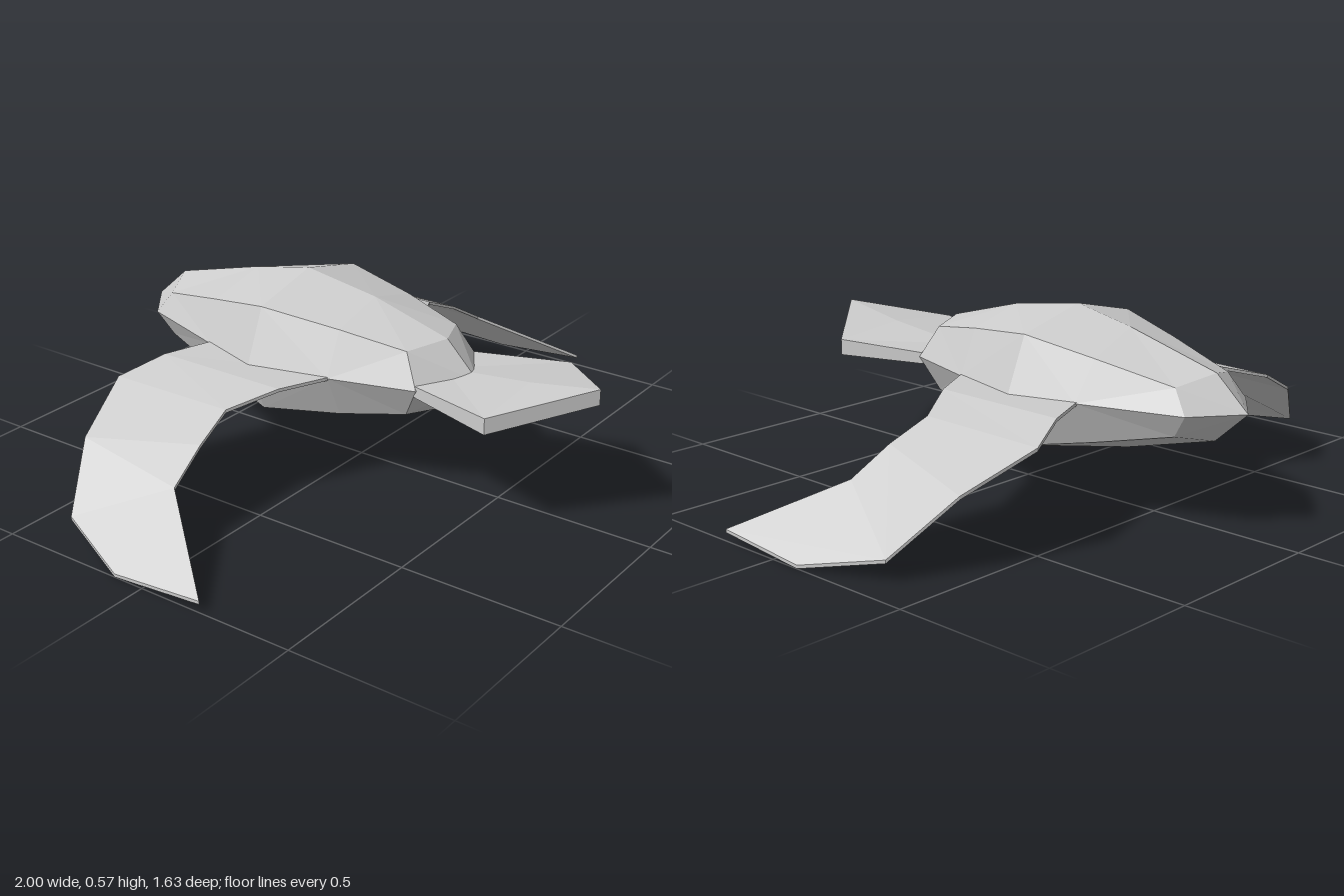
import * as THREE from 'three';

const material = new THREE.MeshStandardMaterial({ color: 0xcccccc, flatShading: true });
const MID_Y = 0.355;

// Skins a row of equal-length point rings (counter-clockwise about the sweep) and closes both ends.
function loft(name, rings) {
  const pos = [];
  const tri = (a, b, c) => {
    const n = b.clone().sub(a).cross(c.clone().sub(a));
    if (n.length() > 1e-7) for (const p of [a, b, c]) pos.push(p.x, p.y, p.z);
  };
  const R = rings.map(r => r.map(p => new THREE.Vector3(...p)));
  const n = R[0].length;
  for (let i = 0; i < R.length - 1; i++) {
    for (let j = 0; j < n; j++) {
      const k = (j + 1) % n;
      const a = R[i][j], b = R[i][k], c = R[i + 1][k], d = R[i + 1][j];
      // alternate the diagonals for a faceted fan pattern
      if ((i + j) % 2 === 0) { tri(a, b, c); tri(a, c, d); }
      else { tri(a, b, d); tri(b, c, d); }
    }
  }
  const last = R[R.length - 1];
  for (let j = 1; j < n - 1; j++) {
    tri(R[0][0], R[0][j + 1], R[0][j]);
    tri(last[0], last[j], last[j + 1]);
  }
  const geo = new THREE.BufferGeometry();
  geo.setAttribute('position', new THREE.Float32BufferAttribute(pos, 3));
  geo.computeVertexNormals();
  const mesh = new THREE.Mesh(geo, material);
  mesh.name = name;
  return mesh;
}

// Eight-sided body tapering to a point at each end
function makeBody() {
  // z, half width, half height, diagonal z, diagonal x, diagonal y
  const stations = [
    [-0.82, 0, 0, -0.82, 0, 0],
    [-0.71, 0.14, 0.098, -0.66, 0.12, 0.07],
    [-0.4, 0.24, 0.18, -0.42, 0.18, 0.122],
    [-0.2, 0.3, 0.22, -0.2, 0.23, 0.165],
    [0.05, 0.24, 0.182, 0.05, 0.18, 0.135],
    [0.31, 0.163, 0.11, 0.255, 0.13, 0.1],
    [0.42, 0, 0, 0.42, 0, 0],
  ];
  return loft('body', stations.map(([z, w, h, dz, dx, dy]) => [
    [w, 0, z], [dx, dy, dz], [0, h, z], [-dx, dy, dz],
    [-w, 0, z], [-dx, -dy, dz], [0, -h, z], [dx, -dy, dz],
  ].map(([x, y, zz]) => [x, MID_Y + y, zz])));
}

// Thin drooping wing; side is +1 for left, -1 for right
function makeWing(name, side) {
  const t = 0.005;
  // edge points: x, y, z on the -z edge, then on the +z edge
  const sections = [
    [0.2, 0.355, -0.39, 0.2, 0.355, 0.07],
    [0.38, 0.349, -0.46, 0.38, 0.35, -0.02],
    [0.52, 0.31, -0.52, 0.52, 0.315, -0.1],
    [0.74, 0.215, -0.45, 0.65, 0.26, -0.085],
    [0.91, 0.062, -0.35, 0.78, 0.185, -0.07],
    [1, 0.007, -0.1, 1, 0.032, 0.205],
  ];
  return loft(name, sections.map(([ax, ay, az, bx, by, bz]) => {
    const ring = [
      [side * ax, ay + t, az], [side * bx, by + t, bz],
      [side * bx, by - t, bz], [side * ax, ay - t, az],
    ];
    return side > 0 ? ring : ring.reverse();
  }));
}

// Kite-shaped plate with a raised centre line
function makeTail() {
  // z, half width, edge bottom, edge top, centre bottom, centre top
  const sections = [
    [0.3, 0.158, 0.333, 0.368, 0.333, 0.37],
    [0.59, 0.24, 0.328, 0.378, 0.35, 0.4],
    [0.815, 0, 0.39, 0.438, 0.39, 0.438],
  ];
  return loft('tail', sections.map(([z, w, b, t, cb, ct]) => [
    [w, b, z], [w, t, z], [0, ct, z], [-w, t, z], [-w, b, z], [0, cb, z],
  ]));
}

export function createModel() {
  const group = new THREE.Group();
  group.name = 'bird';
  group.add(makeBody(), makeWing('leftWing', 1), makeWing('rightWing', -1), makeTail());
  return group;
}
